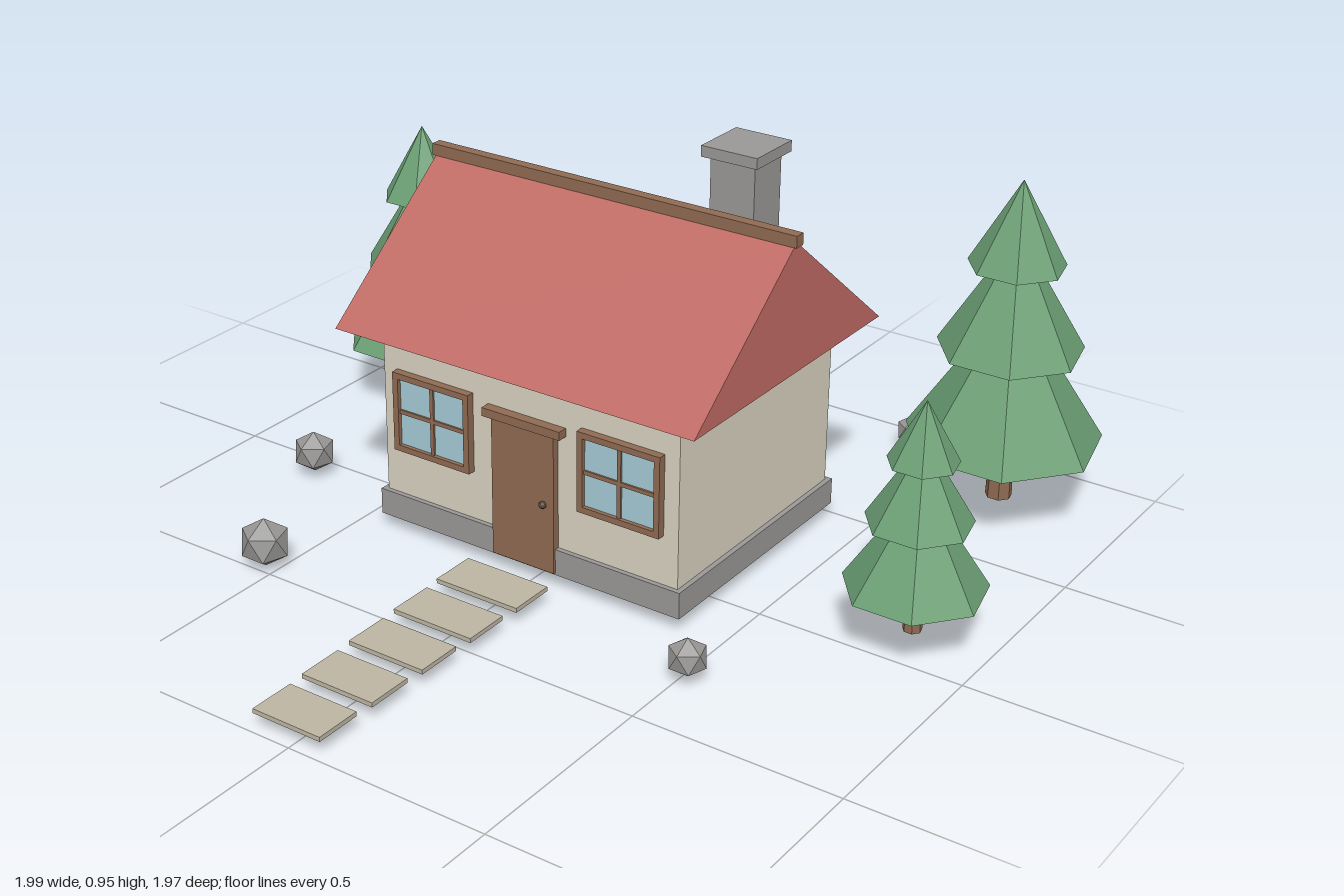
import * as THREE from 'three';

const GROUND = 0.036;
const HX = -0.018; // house centre
const HZ = -0.154;

const paint = (color) => new THREE.MeshStandardMaterial({ color, flatShading: true });
const mats = {
  wall: paint(0xd9d2c0), stone: paint(0x999896), roof: paint(0xbf6a64), wood: paint(0x8f6a52),
  glass: paint(0xa5cad6), leaf: paint(0x6b9f74), slab: paint(0xbdb5a2), metal: paint(0x5a4a3c),
};

function add(parent, name, geometry, material, x = 0, y = 0, z = 0) {
  const mesh = new THREE.Mesh(geometry, material);
  mesh.name = name;
  mesh.position.set(x, y, z);
  parent.add(mesh);
  return mesh;
}

// Box with its bottom face at height y
function block(parent, name, mat, w, h, d, x, y, z) {
  return add(parent, name, new THREE.BoxGeometry(w, h, d), mat, x, y + h / 2, z);
}

// Four-pane window facing +z, back face on z = 0
function makeWindow(name, w, h) {
  const win = new THREE.Group();
  win.name = name;
  const bar = 0.015, depth = 0.02;
  block(win, 'glass', mats.glass, w - bar, h - bar, 0.01, 0, -(h - bar) / 2, 0.005);
  for (const s of [-1, 1]) {
    block(win, 'frameSide', mats.wood, bar, h, depth, s * (w - bar) / 2, -h / 2, depth / 2);
    block(win, 'frameRail', mats.wood, w - 2 * bar, bar, depth, 0, s * (h - bar) / 2 - bar / 2, depth / 2);
  }
  block(win, 'mullion', mats.wood, 0.01, h - 2 * bar, 0.015, 0, -h / 2 + bar, 0.0075);
  block(win, 'crossbar', mats.wood, w - 2 * bar, 0.01, 0.0145, 0, -0.005, 0.00725);
  return win;
}

function makeHouse() {
  const house = new THREE.Group();
  house.name = 'house';
  block(house, 'foundation', mats.stone, 0.835, 0.065, 0.656, HX, GROUND, HZ);
  block(house, 'walls', mats.wall, 0.81, 0.416, 0.632, HX, 0.1, HZ);

  // Solid gabled roof, extruded along x
  const gable = new THREE.Shape([
    new THREE.Vector2(-0.389, 0), new THREE.Vector2(0.389, 0), new THREE.Vector2(0, 0.313),
  ]);
  const roof = new THREE.ExtrudeGeometry(gable, { depth: 0.97, bevelEnabled: false });
  roof.translate(0, 0, -0.485).rotateY(Math.PI / 2);
  add(house, 'roof', roof, mats.roof, HX, 0.516, HZ);
  block(house, 'ridgeBeam', mats.wood, 0.985, 0.028, 0.027, HX, 0.821, HZ);

  // Chimney
  block(house, 'chimney', mats.stone, 0.115, 0.38, 0.11, 0.232, 0.55, -0.322);
  block(house, 'chimneyCap', mats.stone, 0.145, 0.026, 0.145, 0.232, 0.928, -0.322);

  // Door
  const front = HZ + 0.316;
  block(house, 'door', mats.wood, 0.171, 0.345, 0.018, HX, 0.041, front + 0.009);
  block(house, 'doorLintel', mats.wood, 0.213, 0.021, 0.026, HX, 0.385, front + 0.012);
  add(house, 'doorKnob', new THREE.IcosahedronGeometry(0.009, 1), mats.metal, 0.04, 0.21, front + 0.022);

  // Windows: a pair in front, one in the right wall
  for (const s of [-1, 1]) {
    const win = makeWindow('frontWindow', 0.217, 0.198);
    win.position.set(HX + s * 0.258, 0.321, front);
    house.add(win);
  }
  const side = makeWindow('sideWindow', 0.205, 0.178);
  side.rotation.y = -Math.PI / 2;
  side.position.set(HX - 0.405, 0.328, -0.26);
  house.add(side);
  return house;
}

// Seven-sided fir: trunk and three stacked cones, [base, height, radius] as fractions
function makeTree(x, z, height, radius) {
  const tree = new THREE.Group();
  tree.name = 'tree';
  tree.position.set(x, GROUND, z);
  tree.rotation.y = Math.PI;
  const r = height * 0.04, trunkH = height * 0.3;
  add(tree, 'trunk', new THREE.CylinderGeometry(r * 0.85, r, trunkH, 7), mats.wood, 0, trunkH / 2, 0);
  for (const [base, h, k] of [[0.19, 0.46, 1], [0.478, 0.365, 0.74], [0.738, 0.262, 0.49]]) {
    add(tree, 'foliage', new THREE.ConeGeometry(radius * k, h * height, 7), mats.leaf,
      0, (base + h / 2) * height, 0);
  }
  return tree;
}

export function createModel() {
  const model = new THREE.Group();
  model.name = 'cottageScene';
  model.add(makeHouse());
  model.add(makeTree(-0.796, -0.452, 0.706, 0.211));
  model.add(makeTree(0.704, -0.751, 0.803, 0.237));
  model.add(makeTree(0.832, -0.086, 0.551, 0.163));

  // Stepping stones, narrowing away from the door
  for (let i = 0; i < 5; i++) {
    block(model, 'steppingStone', mats.slab, 0.222 - i * 0.0105, 0.011, 0.115,
      HX, 0.034, 0.297 + i * 0.1575);
  }

  // Rocks, each standing on one vertex
  const rockShape = new THREE.IcosahedronGeometry(1, 0);
  rockShape.rotateX(-Math.atan((1 + Math.sqrt(5)) / 2));
  for (const [x, y, z, r] of [
    [-0.535, 0.061, 0.473, 0.061], [-0.739, 0.063, 0.067, 0.053],
    [0.519, 0.06, 0.323, 0.047], [0.39, 0.057, -0.898, 0.039],
  ]) {
    add(model, 'rock', rockShape, mats.stone, x, y, z).scale.setScalar(r);
  }
  return model;
}
